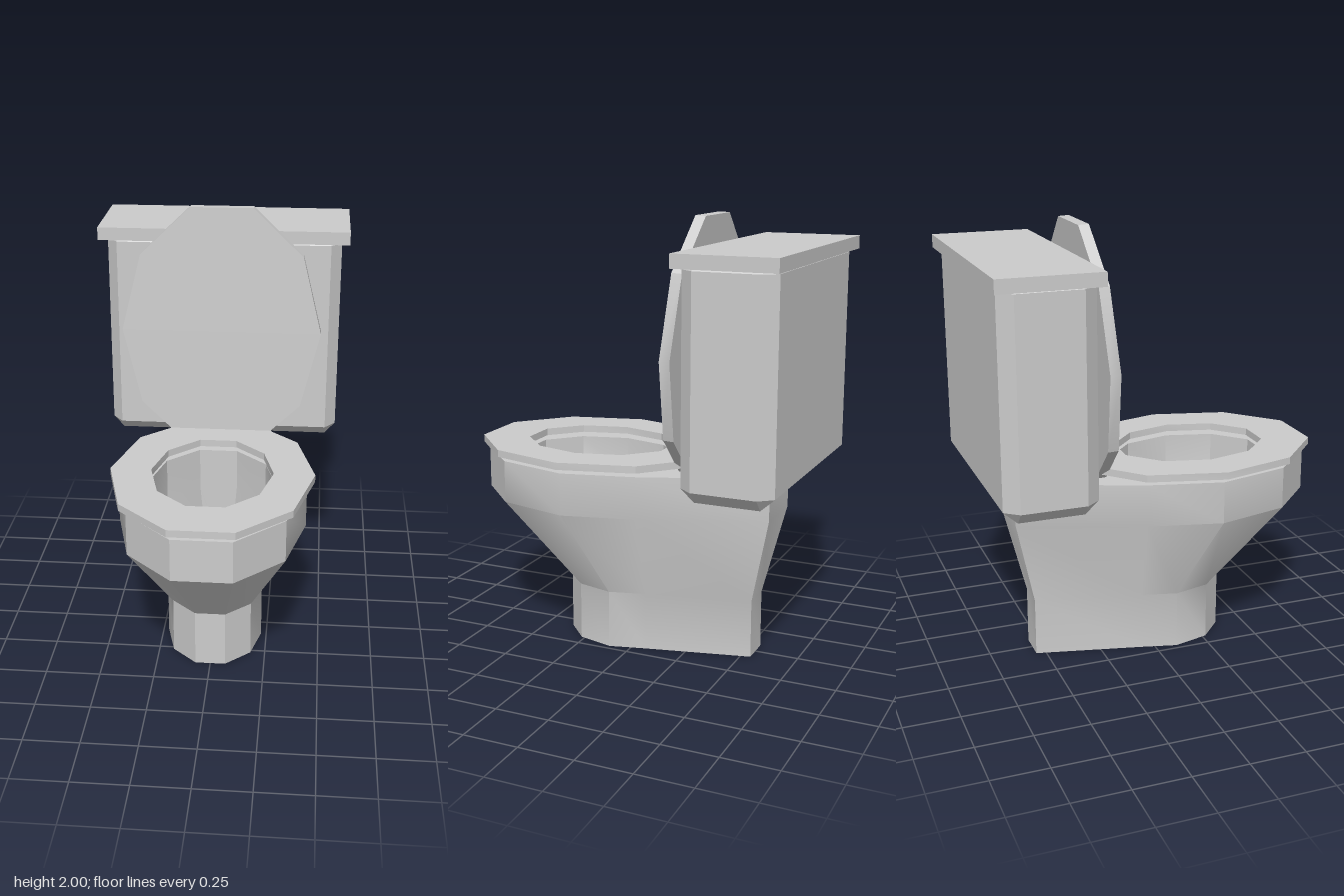
import * as THREE from 'three';
import { toCreasedNormals } from 'three/addons/utils/BufferGeometryUtils.js';

const material = new THREE.MeshStandardMaterial({ color: 0xcccccc });

// Ten-sided oval at height y with a flat at front and back;
// the two rear corners can be pulled back to z = back.
function oval(y, rx, rz, cz = 0, back = null) {
  return Array.from({ length: 10 }, (_, i) => {
    const a = (i * Math.PI) / 5;
    const rear = back !== null && (i === 7 || i === 8);
    return new THREE.Vector3(rx * Math.cos(a), y, rear ? back : cz + rz * Math.sin(a));
  });
}

// Rectangle with cut corners at height y; zero cuts give doubled corners.
function cutRect(y, hx, hz, cx, cz) {
  const points = [];
  for (const [sx, sz] of [[1, 1], [-1, 1], [-1, -1], [1, -1]]) {
    const side = new THREE.Vector3(sx * hx, y, sz * (hz - cz));
    const end = new THREE.Vector3(sx * (hx - cx), y, sz * hz);
    points.push(...(sx * sz > 0 ? [side, end] : [end, side]));
  }
  return points;
}

// Closed cap: a loop collapsed to its centre.
const cap = (y, count, z = 0) => Array.from({ length: count }, () => new THREE.Vector3(0, y, z));

// Skin between successive loops, leaving out empty triangles.
function loft(name, loops, crease) {
  const pos = [];
  const tri = (a, b, c) => {
    if (new THREE.Triangle(a, b, c).getArea() > 1e-7) {
      for (const p of [a, b, c]) pos.push(p.x, p.y, p.z);
    }
  };
  for (let r = 0; r < loops.length - 1; r++) {
    const lower = loops[r], upper = loops[r + 1], n = lower.length;
    for (let i = 0; i < n; i++) {
      const j = (i + 1) % n;
      tri(lower[i], upper[i], upper[j]);
      tri(lower[i], upper[j], lower[j]);
    }
  }
  let geometry = new THREE.BufferGeometry();
  geometry.setAttribute('position', new THREE.Float32BufferAttribute(pos, 3));
  geometry.computeVertexNormals();
  if (crease) geometry = toCreasedNormals(geometry, crease);
  const mesh = new THREE.Mesh(geometry, material);
  mesh.name = name;
  return mesh;
}

export function createModel() {
  const group = new THREE.Group();
  group.name = 'toilet';
  const crease = Math.PI / 6;

  // Pedestal and bowl: up the outside, over the rim, down the inside
  group.add(loft('bowl', [
    oval(0, 0.225, 0.284, 0.1, -0.545),
    oval(0.27, 0.225, 0.284, 0.1, -0.545),
    oval(0.68, 0.425, 0.5625, 0.24, -0.64),
    oval(0.875, 0.425, 0.5625, 0.24, -0.64),
    oval(0.875, 0.285, 0.37, 0.24),
    oval(0.68, 0.285, 0.37, 0.24),
    oval(0.27, 0.17, 0.215, 0.09),
    oval(0, 0.17, 0.215, 0.09),
    oval(0, 0.225, 0.284, 0.1, -0.545),
  ], crease));

  // Seat ring
  const ring = [[0.9, 0.46, 0.589], [0.933, 0.46, 0.589], [0.933, 0.275, 0.358], [0.9, 0.275, 0.358], [0.9, 0.46, 0.589]];
  group.add(loft('seat', ring.map(([y, rx, rz]) => oval(y, rx, rz, 0.24)), crease));

  // Raised lid, leaning back slightly
  const lid = loft('seatLid', [
    cap(-0.024, 10), oval(-0.024, 0.465, 0.61), oval(0.024, 0.465, 0.61), cap(0.024, 10),
  ], crease);
  lid.rotation.x = Math.PI / 2 - 0.048;
  lid.position.set(0, 1.42, -0.28);
  group.add(lid);

  // Cistern with bevelled edges
  const tank = loft('tank', [
    cap(0.845, 8),
    cutRect(0.845, 0.5, 0.145, 0, 0),
    cutRect(0.9, 0.55, 0.207, 0.05, 0.062),
    cutRect(1.81, 0.55, 0.207, 0.05, 0.062),
    cutRect(1.865, 0.5, 0.145, 0, 0),
    cap(1.865, 8),
  ]);
  tank.position.z = -0.578;
  group.add(tank);

  // Cistern cover
  const cover = new THREE.Mesh(new THREE.BoxGeometry(1.17, 0.06, 0.455), material);
  cover.name = 'tankCover';
  cover.position.set(0, 1.85, -0.581);
  group.add(cover);

  return group;
}
